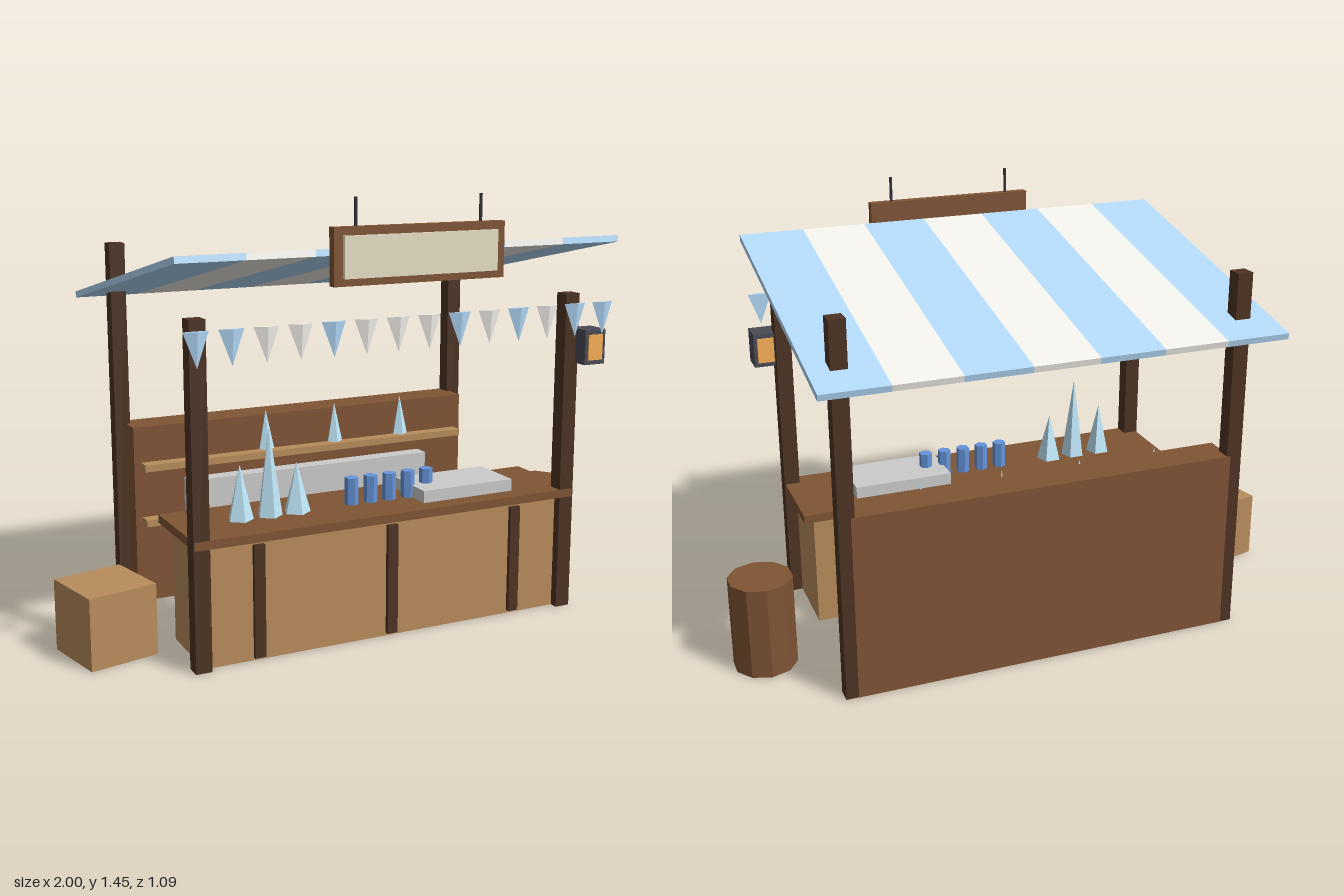
import * as THREE from 'three';

const COLORS = {
  dark: 0x4d3323, brown: 0x7f5434, tan: 0xb98c5c, blue: 0xb3daf9, cream: 0xf3f1ec,
  stone: 0xdad8d6, ice: 0xbfe8fa, cup: 0x6594da, metal: 0x34343a, slate: 0x4a4a55,
  glow: 0xf9b056, signFace: 0xe8dfc4,
};
const materials = {};
for (const key in COLORS) {
  materials[key] = new THREE.MeshStandardMaterial({ color: COLORS[key], flatShading: true });
}

export function createModel() {
  const model = new THREE.Group();
  const MID = 0.019; // centre line of the stall

  function add(name, geometry, color, x, y, z, parent = model) {
    const mesh = new THREE.Mesh(geometry, materials[color]);
    mesh.name = name;
    mesh.position.set(x, y, z);
    parent.add(mesh);
    return mesh;
  }
  // Box given by width, height, depth and the height of its underside
  const box = (name, color, w, h, d, x, bottom, z, parent) =>
    add(name, new THREE.BoxGeometry(w, h, d), color, x, bottom + h / 2, z, parent);
  // Cone or cylinder standing on a given height
  const round = (name, color, rTop, rBottom, h, sides, x, bottom, z) =>
    add(name, new THREE.CylinderGeometry(rTop, rBottom, h, sides), color, x, bottom + h / 2, z);

  // Corner posts
  for (const side of [-1, 1]) {
    box('frontPost', 'dark', 0.053, 1.096, 0.053, MID + side * 0.664, 0, 0.361);
    box('backPost', 'dark', 0.053, 1.253, 0.053, MID + side * 0.664, 0, -0.402);
  }

  // Counter with front slats
  box('counterBody', 'tan', 1.3, 0.394, 0.273, MID, 0, 0.222);
  box('counterTop', 'brown', 1.375, 0.028, 0.331, MID, 0.394, 0.2225);
  for (let i = -1; i <= 1; i++) {
    box('counterSlat', 'dark', 0.037, 0.37, 0.022, MID + i * 0.469, 0.01, 0.362);
  }

  // Back wall, as deep as the back of the posts, and its shelves
  box('backPanel', 'brown', 1.3, 0.627, 0.127, MID, 0, -0.3665);
  for (const y of [0.282, 0.478]) {
    box('shelf', 'tan', 1.25, 0.024, 0.06, MID, y, -0.286);
  }
  box('shelfBlock', 'stone', 0.94, 0.117, 0.07, MID, 0.314, -0.281);

  // Goods on the counter and the upper shelf
  box('tray', 'stone', 0.343, 0.041, 0.192, 0.332, 0.422, 0.225);
  for (let i = 0; i < 5; i++) {
    round('cup', 'cup', 0.023, 0.023, 0.091, 6, -0.058 + i * 0.07, 0.422, 0.224);
  }
  [[-0.453, 0.18, 0.043], [-0.352, 0.291, 0.042], [-0.256, 0.166, 0.045]].forEach(([x, h, r]) =>
    round('counterCone', 'ice', 0, r, h, 5, x, 0.422, 0.223));
  for (let i = 0; i < 4; i++) {
    round('shelfCone', 'ice', 0, 0.03, 0.143, 5, -0.411 + i * 0.273, 0.502, -0.303);
  }

  // Sloping striped roof
  const roof = new THREE.Group();
  roof.name = 'roof';
  roof.position.set(0.015, 1.175, -0.025);
  roof.rotation.x = -0.208;
  model.add(roof);
  const stripe = 1.524 / 7;
  for (let i = 0; i < 7; i++) {
    box('roofStripe', i % 2 ? 'cream' : 'blue', stripe, 0.021, 1.055, (i - 3) * stripe, -0.0105, 0, roof);
  }

  // Row of hanging pennants
  [...'bbwwbwwwbwbwbb'].forEach((c, i) => {
    const flag = add('pennant', new THREE.ConeGeometry(0.046, 0.108, 3),
      c === 'b' ? 'blue' : 'cream', -0.688 + i * 0.1086, 1.026, 0.497);
    flag.rotation.z = Math.PI;
    flag.scale.z = 0.24;
  });

  // Hanging sign
  box('signBoard', 'brown', 0.585, 0.174, 0.03, MID, 1.186, 0.517);
  box('signFace', 'signFace', 0.525, 0.126, 0.012, MID, 1.209, 0.538);
  for (const side of [-1, 1]) {
    round('signRod', 'metal', 0.005, 0.005, 0.1, 6, MID + side * 0.214, 1.345, 0.517);
  }

  // Lantern on the front post
  box('lanternFrame', 'slate', 0.08, 0.117, 0.083, 0.74, 0.861, 0.4);
  box('lanternGlow', 'glow', 0.056, 0.086, 0.091, 0.74, 0.876, 0.4);

  // Crate and barrel beside the stall
  box('crate', 'tan', 0.235, 0.236, 0.235, -0.862, 0, 0.087).rotation.y = 0.21;
  round('barrel', 'brown', 0.106, 0.106, 0.315, 10, 0.898, 0, -0.108);

  return model;
}
